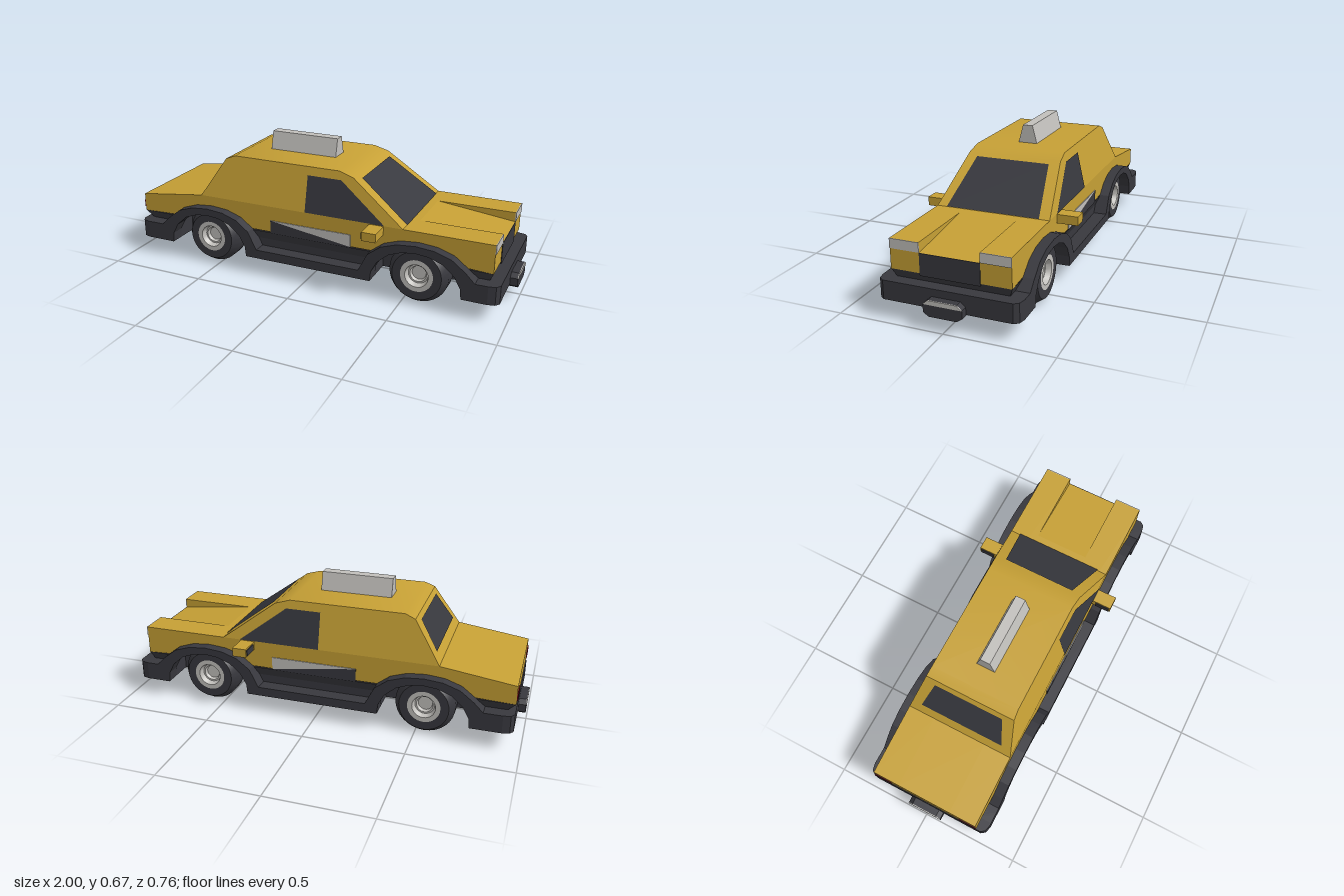
import * as THREE from 'three';
import { toCreasedNormals } from 'three/addons/utils/BufferGeometryUtils.js';

export function createModel() {
  const car = new THREE.Group();
  car.name = 'car';
  const paint = (name, color) => Object.assign(new THREE.MeshStandardMaterial({ color }), { name });
  const yellow = paint('yellow paint', 0xc6a035);
  const dark = paint('dark trim', 0x38383e);
  const silver = paint('silver', 0xc2c0bc);
  const red = paint('tail red', 0x7c1020);
  const glass = paint('dark glass', 0x37383e);
  glass.side = THREE.DoubleSide;

  const add = (name, geo, mat, parent = car) => {
    const m = new THREE.Mesh(geo, mat);
    m.name = name;
    parent.add(m);
    return m;
  };
  const shapeOf = (pts) => new THREE.Shape(pts.map(([x, y]) => new THREE.Vector2(x, y)));
  // side profile extruded between two z values
  const slab = (pts, z0, z1) =>
    new THREE.ExtrudeGeometry(shapeOf(pts), { depth: z1 - z0, bevelEnabled: false }).translate(0, 0, z0);
  const box = (x0, x1, y0, y1, z0, z1) =>
    new THREE.BoxGeometry(x1 - x0, y1 - y0, z1 - z0).translate((x0 + x1) / 2, (y0 + y1) / 2, (z0 + z1) / 2);
  // thin panel through the given corners
  const panel = (pts) => {
    const tri = [];
    for (let i = 1; i < pts.length - 1; i++) tri.push(...pts[0], ...pts[i], ...pts[i + 1]);
    const g = new THREE.BufferGeometry();
    g.setAttribute('position', new THREE.Float32BufferAttribute(tri, 3));
    g.computeVertexNormals();
    return g;
  };

  // wheel arch curves, relative to the wheel's x
  const mirrorArch = (half) => [...half, ...half.slice(0, -1).reverse().map(([x, y]) => [-x, y])];
  const outer = mirrorArch([[-0.28, 0.18], [-0.235, 0.225], [-0.17, 0.275], [-0.09, 0.302], [0, 0.31]]);
  const inner = mirrorArch([[-0.22, 0.09], [-0.215, 0.14], [-0.185, 0.195], [-0.13, 0.243], [-0.065, 0.267], [0, 0.274]]);
  const at = (arch, x) => arch.map((p) => [p[0] + x, p[1]]);
  const rearX = -0.54, frontX = 0.57;

  // body: fenders with raised tops, and a lower centre bonnet
  const well = (x) => at(outer, x).slice(1, -1);
  const fender = [[-0.96, 0.22], ...well(rearX), ...well(frontX),
    [0.92, 0.22], [0.92, 0.36], [-0.6, 0.36], [-0.96, 0.313]];
  add('leftFender', slab(fender, 0.14, 0.28), yellow);
  add('rightFender', slab(fender, -0.28, -0.14), yellow);
  add('bodyCentre', slab([[-0.96, 0.22], [0.92, 0.22], [0.92, 0.313], [0.53, 0.36], [-0.6, 0.36], [-0.96, 0.313]], -0.14, 0.14), yellow);

  // cabin narrowing toward the roof
  const halfZ = (y) => 0.28 - (y - 0.36) * 0.227;
  const cabin = slab([[-0.6, 0.36], [0.49, 0.36], [0.225, 0.557], [0.15, 0.58], [-0.42, 0.58], [-0.47, 0.56]], -0.28, 0.28);
  const cp = cabin.attributes.position;
  for (let i = 0; i < cp.count; i++) cp.setZ(i, Math.sign(cp.getZ(i)) * halfZ(cp.getY(i)));
  add('cabin', toCreasedNormals(cabin, 0.5), yellow);

  // windows
  add('windshield', panel([[0.494, 0.363, 0.23], [0.494, 0.363, -0.23], [0.249, 0.545, -0.185], [0.249, 0.545, 0.185]]), glass);
  add('rearWindow', panel([[-0.575, 0.405, -0.22], [-0.575, 0.405, 0.22], [-0.487, 0.541, 0.18], [-0.487, 0.541, -0.18]]), glass);
  const sideWindow = [[-0.01, 0.362], [0.4, 0.362], [0.165, 0.54], [-0.01, 0.54]];

  for (const s of [1, -1]) {
    const side = s > 0 ? 'left' : 'right';
    const zBox = (x0, x1, y0, y1, a, b) => box(x0, x1, y0, y1, Math.min(s * a, s * b), Math.max(s * a, s * b));
    const order = (pts) => (s > 0 ? pts : [...pts].reverse());
    add(side + 'Window', panel(order(sideWindow.map(([x, y]) => [x, y, s * (halfZ(y) + 0.004)]))), glass);

    // two-tone wedge on the door
    const wedge = (name, pts, mat) => add(side + name, slab(pts, s > 0 ? 0.279 : -0.284, s > 0 ? 0.284 : -0.279), mat);
    wedge('DoorSilver', [[-0.2, 0.287], [0.23, 0.225], [0.23, 0.287]], silver);
    wedge('DoorDark', [[-0.2, 0.287], [-0.2, 0.22], [0.23, 0.22], [0.23, 0.225]], dark);

    // wing mirror with dark rear face
    add(side + 'Mirror', zBox(0.325, 0.395, 0.315, 0.358, 0.27, 0.382), yellow);
    add(side + 'MirrorGlass', zBox(0.32, 0.326, 0.321, 0.352, 0.3, 0.375), dark);

    add(side + 'Headlight', zBox(0.919, 0.924, 0.315, 0.36, 0.14, 0.28), silver);
    add(side + 'Taillight', zBox(-0.964, -0.959, 0.24, 0.277, 0.19, 0.28), red);

    // sill and flared arches in one strip
    const strip = [[-0.9, 0.09], [-0.9, 0.18], ...at(outer, rearX).slice(0, -1), [-0.26, 0.135], [0.29, 0.135],
      ...at(outer, frontX).slice(1), [0.91, 0.18], [0.91, 0.09],
      ...at(inner, frontX).reverse(), ...at(inner, rearX).reverse()];
    add(side + 'ArchTrim', slab(strip, s > 0 ? 0.26 : -0.33, s > 0 ? 0.33 : -0.26), dark);
  }

  // dark underbody, tucked in below the paint line
  const tapered = (x0, x1, inRear, inFront) => {
    const g = box(x0, x1, 0.17, 0.22, -0.28, 0.28);
    const p = g.attributes.position;
    for (let i = 0; i < p.count; i++) {
      if (p.getY(i) > 0.2) continue;
      p.setZ(i, Math.sign(p.getZ(i)) * 0.26);
      p.setX(i, p.getX(i) < (x0 + x1) / 2 ? x0 + inRear : x1 - inFront);
    }
    g.computeVertexNormals();
    return g;
  };
  add('rearUnderbody', tapered(-0.96, -0.775, 0.045, 0), dark);
  add('frontUnderbody', tapered(0.805, 0.92, 0, 0.022), dark);
  add('middleUnderbody', tapered(-0.305, 0.335, 0, 0), dark);
  add('middleFloor', box(-0.32, 0.35, 0.09, 0.175, -0.262, 0.262), dark);
  add('spine', box(-0.9, 0.89, 0.09, 0.225, -0.15, 0.15), dark);
  add('grille', box(0.916, 0.923, 0.21, 0.313, -0.14, 0.14), dark);

  // bumpers with cut corners, and plates
  for (const d of [1, -1]) {
    const end = d > 0 ? 'front' : 'rear';
    const back = d > 0 ? 0.79 : 0.76;
    const plan = [[back, -0.33], [0.91, -0.33], [0.945, -0.322], [0.961, -0.3],
      [0.961, 0.3], [0.945, 0.322], [0.91, 0.33], [back, 0.33]].map(([x, z]) => [d * x, z]);
    add(end + 'Bumper', slab(plan, 0, 0.09).rotateX(Math.PI / 2).translate(0, 0.18, 0), dark);
    // plate outline drawn across z, turned to face along x
    const turn = (g) => g.rotateY((d * Math.PI) / 2);
    add(end + 'PlateHolder', turn(slab([[-0.065, 0.07], [0.065, 0.07], [0.09, 0.087], [0.09, 0.125],
      [0.067, 0.145], [-0.067, 0.145], [-0.09, 0.125], [-0.09, 0.087]], 0.95, 0.997)), dark);
    add(end + 'Plate', turn(slab([[-0.09, 0.125], [0.09, 0.125], [0.067, 0.145], [-0.067, 0.145]], 0.995, 1)), silver);
  }

  // roof sign
  const sign = box(-0.31, 0.05, 0.575, 0.67, -0.05, 0.05);
  const sp = sign.attributes.position;
  for (let i = 0; i < sp.count; i++) if (sp.getY(i) > 0.6) sp.setZ(i, Math.sign(sp.getZ(i)) * 0.025);
  sign.computeVertexNormals();
  add('roofSign', sign, silver);

  // wheels: tyre plus dished rim, axis along z
  const lathe = (pts) => toCreasedNormals(
    new THREE.LatheGeometry(pts.map(([r, y]) => new THREE.Vector2(r, y)), 32), 0.6).rotateX(Math.PI / 2);
  const tyre = lathe([[0, -0.072], [0.12, -0.072], [0.145, -0.035], [0.145, 0.035], [0.12, 0.072], [0.08, 0.072]]);
  const rim = lathe([[0.08, 0.072], [0.057, 0.072], [0.048, 0.045], [0.04, 0.045], [0.034, 0.03], [0, 0.03]]);
  for (const [end, x] of [['front', frontX], ['rear', rearX]]) {
    for (const s of [1, -1]) {
      const wheel = new THREE.Group();
      wheel.name = end + (s > 0 ? 'Left' : 'Right') + 'Wheel';
      add('tyre', tyre, dark, wheel);
      add('rim', rim, silver, wheel);
      wheel.position.set(x, 0.148, s * 0.228);
      if (s < 0) wheel.rotation.y = Math.PI;
      car.add(wheel);
    }
  }
  return car;
}
